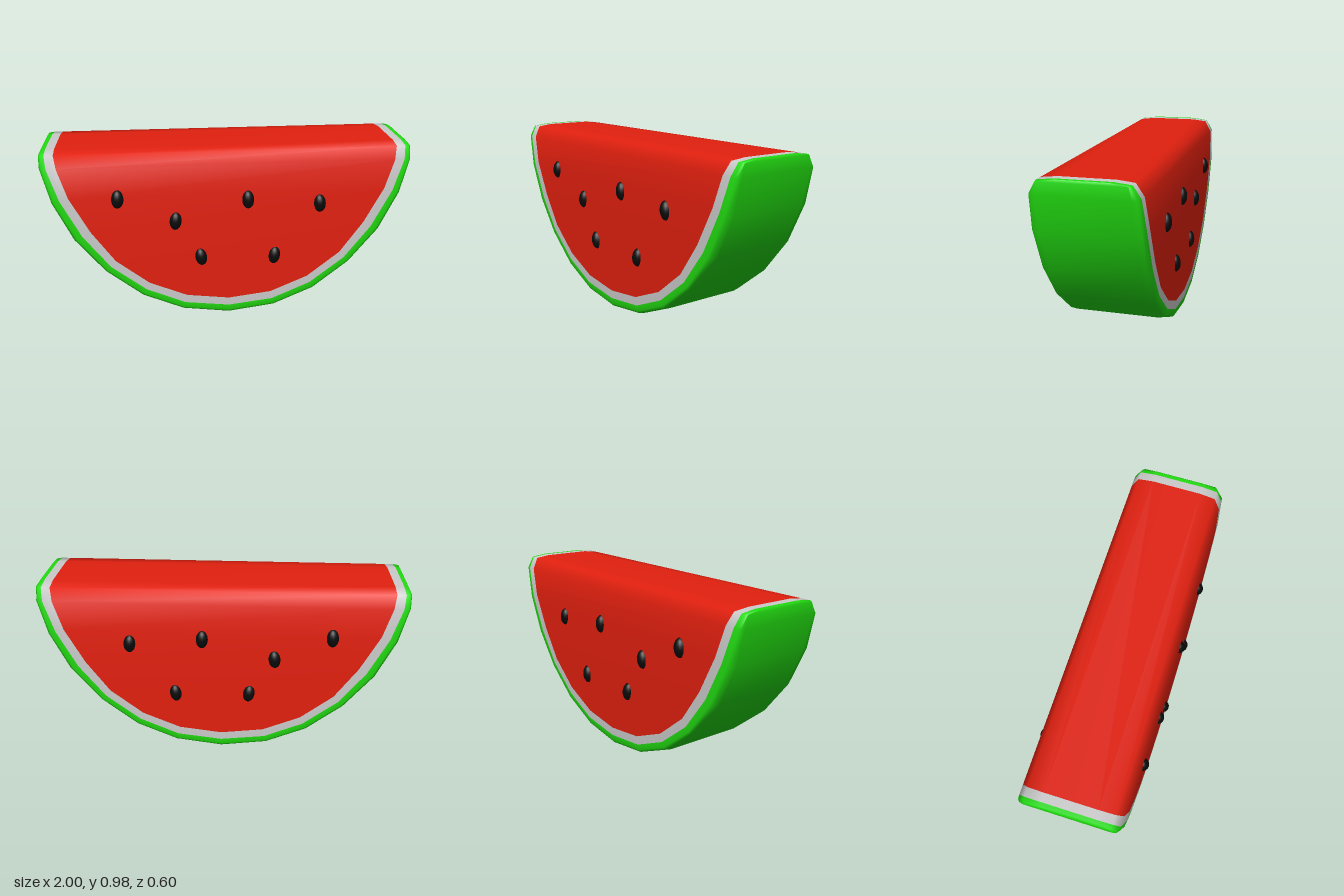
import * as THREE from 'three';
import { mergeVertices } from 'three/addons/utils/BufferGeometryUtils.js';

// Stations from the bottom of the slice to its top:
// flesh edge x, y | white rind edge x, y | outer skin x, y | half thickness
const STATIONS = [
  [0, 0.105, 0, 0.058, 0, 0.003, 0.275],
  [0.24, 0.135, 0.25, 0.088, 0.262, 0.038, 0.275],
  [0.45, 0.225, 0.467, 0.183, 0.49, 0.137, 0.275],
  [0.63, 0.37, 0.658, 0.335, 0.692, 0.3, 0.275],
  [0.755, 0.55, 0.8, 0.524, 0.852, 0.5, 0.275],
  [0.858, 0.75, 0.905, 0.735, 0.953, 0.718, 0.274],
  [0.908, 0.91, 0.96, 0.91, 1, 0.91, 0.262],
  [0.922, 0.975, 0.97, 0.975, 1, 0.973, 0.225],
  [0.925, 0.985, 0.972, 0.985, 0.995, 0.985, 0.14],
];

// Half a row, from the flesh edge out to the skin, with a rounded outer corner
function halfRow([fx, fy, wx, wy, ox, oy, z]) {
  const between = (t, depth) => [wx + (ox - wx) * t, wy + (oy - wy) * t, depth];
  return [
    [fx, fy, z],
    [wx, wy, z],
    between(0.6, z - 0.002),
    between(0.88, z - 0.012),
    between(1, Math.min(0.228, z - 0.012)),
  ];
}

// One shared skin, so that shading runs smoothly across the colours
function buildBody() {
  const front = STATIONS.map((s) => {
    const right = halfRow(s);
    const left = right.map(([x, y, z]) => [-x, y, z]).reverse();
    return [...left, ...right];
  });
  const back = front.map((row) => row.map(([x, y, z]) => [x, y, -z])).reverse();
  const rows = [...front, ...back];
  const cols = rows[0].length;
  const last = rows.length - 1;
  const at = (r, c) => r * cols + c;

  const faces = { rind: [], whiteRind: [], flesh: [] };
  const quad = (list, a, b, c, d) => list.push(a, b, c, a, c, d);
  const partOf = (c) => (c === 4 ? 'flesh' : c === 3 || c === 5 ? 'whiteRind' : 'rind');

  // up the front, over the top and down the back
  for (let r = 0; r < last; r++) {
    for (let c = 0; c < cols - 1; c++) {
      quad(faces[partOf(c)], at(r, c), at(r, c + 1), at(r + 1, c + 1), at(r + 1, c));
    }
  }
  // outer skin joining front and back on both sides
  for (let r = 0; r < STATIONS.length - 1; r++) {
    const e = cols - 1;
    quad(faces.rind, at(r, e), at(last - r, e), at(last - r - 1, e), at(r + 1, e));
    quad(faces.rind, at(last - r, 0), at(r, 0), at(r + 1, 0), at(last - r - 1, 0));
  }

  let skin = new THREE.BufferGeometry();
  skin.setAttribute('position', new THREE.Float32BufferAttribute(rows.flat(2), 3));
  skin.setIndex([...faces.rind, ...faces.whiteRind, ...faces.flesh]);
  skin = mergeVertices(skin, 1e-5);
  skin.computeVertexNormals();

  // split by colour
  const index = Array.from(skin.index.array);
  let start = 0;
  const parts = {};
  for (const [name, list] of Object.entries(faces)) {
    const g = new THREE.BufferGeometry();
    g.setAttribute('position', skin.getAttribute('position'));
    g.setAttribute('normal', skin.getAttribute('normal'));
    g.setIndex(index.slice(start, start + list.length));
    start += list.length;
    parts[name] = g;
  }
  return parts;
}

export function createModel() {
  const group = new THREE.Group();
  group.name = 'watermelonSlice';

  const colors = { rind: 0x22dd11, whiteRind: 0xcccccc, flesh: 0xe2200f };
  for (const [name, geometry] of Object.entries(buildBody())) {
    const mesh = new THREE.Mesh(geometry, new THREE.MeshStandardMaterial({ color: colors[name] }));
    mesh.name = name;
    group.add(mesh);
  }

  // Seeds: x, y, tilt, repeated on the front and back faces
  const seeds = [
    [-0.6, 0.735, -0.05],
    [-0.293, 0.598, -0.1],
    [0.104, 0.71, 0.05],
    [0.502, 0.674, 0.1],
    [-0.156, 0.375, 0.15],
    [0.257, 0.367, -0.1],
  ];
  const seedGeometry = new THREE.SphereGeometry(1, 16, 12);
  const seedMaterial = new THREE.MeshStandardMaterial({ color: 0x0a0a0a });
  for (const side of [1, -1]) {
    for (const [x, y, tilt] of seeds) {
      const seed = new THREE.Mesh(seedGeometry, seedMaterial);
      seed.name = side > 0 ? 'frontSeed' : 'backSeed';
      seed.scale.set(0.034, 0.053, 0.034);
      seed.position.set(x, y, side * 0.267);
      seed.rotation.z = tilt;
      group.add(seed);
    }
  }
  return group;
}
